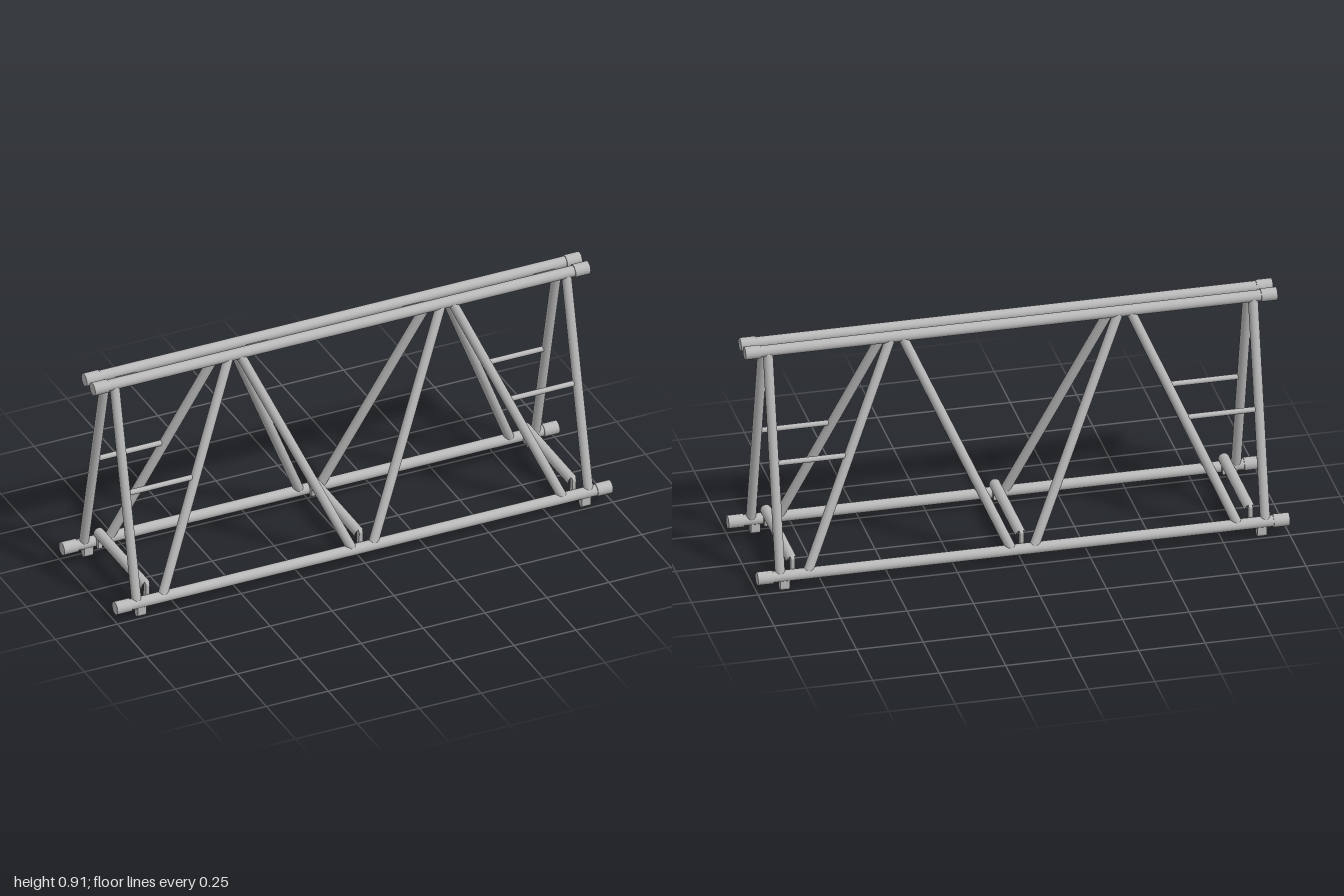
import * as THREE from 'three';

const steel = new THREE.MeshStandardMaterial({ color: 0xb8b8b8 });
steel.name = 'galvanised steel';

const LOW = { y: 0.056, z: 0.229 };
const HIGH = { y: 0.889, z: 0.036 };
// depth of the sloping side plane at a given height
const sideZ = (y) => LOW.z + ((y - LOW.y) / (HIGH.y - LOW.y)) * (HIGH.z - LOW.z);

// round bar between two points
function bar(name, a, b, radius, open = false) {
  const from = new THREE.Vector3(...a), to = new THREE.Vector3(...b);
  const dir = to.clone().sub(from);
  const mesh = new THREE.Mesh(new THREE.CylinderGeometry(radius, radius, dir.length(), 20, 1, open), steel);
  mesh.position.copy(from).add(to).multiplyScalar(0.5);
  mesh.quaternion.setFromUnitVectors(new THREE.Vector3(0, 1, 0), dir.normalize());
  mesh.name = name;
  return mesh;
}

// rounded plate in the z-y plane, running from the origin up to the given height
function roundedPlate(name, height, radius, thickness) {
  const s = new THREE.Shape();
  s.absarc(0, 0, radius, Math.PI, 2 * Math.PI, false);
  s.absarc(0, height, radius, 0, Math.PI, false);
  s.closePath();
  const geo = new THREE.ExtrudeGeometry(s, { depth: thickness, bevelEnabled: false, curveSegments: 10 });
  geo.translate(0, 0, -thickness / 2);
  geo.rotateY(Math.PI / 2);
  const mesh = new THREE.Mesh(geo, steel);
  mesh.name = name;
  return mesh;
}

export function createModel() {
  const truss = new THREE.Group();
  truss.name = 'truss';

  for (const f of [1, -1]) {
    const side = new THREE.Group();
    side.name = f > 0 ? 'frontSide' : 'backSide';
    truss.add(side);
    const onSide = (x, y) => [x, y, f * sideZ(y)];

    // long chords with thicker end sleeves
    for (const [label, y] of [['lower', LOW.y], ['upper', HIGH.y]]) {
      side.add(bar(label + 'Chord', onSide(-0.97, y), onSide(0.97, y), 0.0213));
      for (const s of [1, -1]) {
        side.add(bar(label + 'EndSleeve', onSide(s * 0.94, y), onSide(s, y), 0.025));
      }
    }

    for (const s of [1, -1]) {
      // uprights and the zigzag of braces
      side.add(bar('upright', onSide(s * 0.912, LOW.y), onSide(s * 0.912, HIGH.y), 0.0185, true));
      side.add(bar('outerBrace', onSide(s * 0.808, 0.06), onSide(s * 0.452, 0.882), 0.0185, true));
      side.add(bar('innerBrace', onSide(s * 0.042, 0.06), onSide(s * 0.405, 0.882), 0.0185, true));
      // thin rung between upright and brace
      side.add(bar('rung', onSide(s * 0.905, 0.472), onSide(s * 0.64, 0.472), 0.0105));
      // small foot under the lower chord
      const foot = roundedPlate('foot', 0.03, 0.0155, 0.035);
      foot.position.set(s * 0.897, 0.0155, f * LOW.z);
      side.add(foot);
    }

    // hooks holding the spreader bars
    for (const x of [-0.861, 0, 0.861]) {
      const hook = roundedPlate('spreaderHook', 0.063, 0.011, 0.015);
      hook.position.set(x, 0.047, f * 0.202);
      hook.rotation.x = f * 0.06;
      side.add(hook);
    }
  }

  // spreader bars across the bottom, open at the ends
  for (const x of [-0.861, 0, 0.861]) {
    truss.add(bar('spreaderBar', [x, 0.101, -0.208], [x, 0.101, 0.208], 0.0208, true));
  }

  // short links joining the two upper chords
  for (const x of [-0.845, -0.315, 0.315, 0.845]) {
    truss.add(bar('topLink', [x - 0.041, 0.873, 0], [x + 0.041, 0.873, 0], 0.0165));
  }
  return truss;
}
